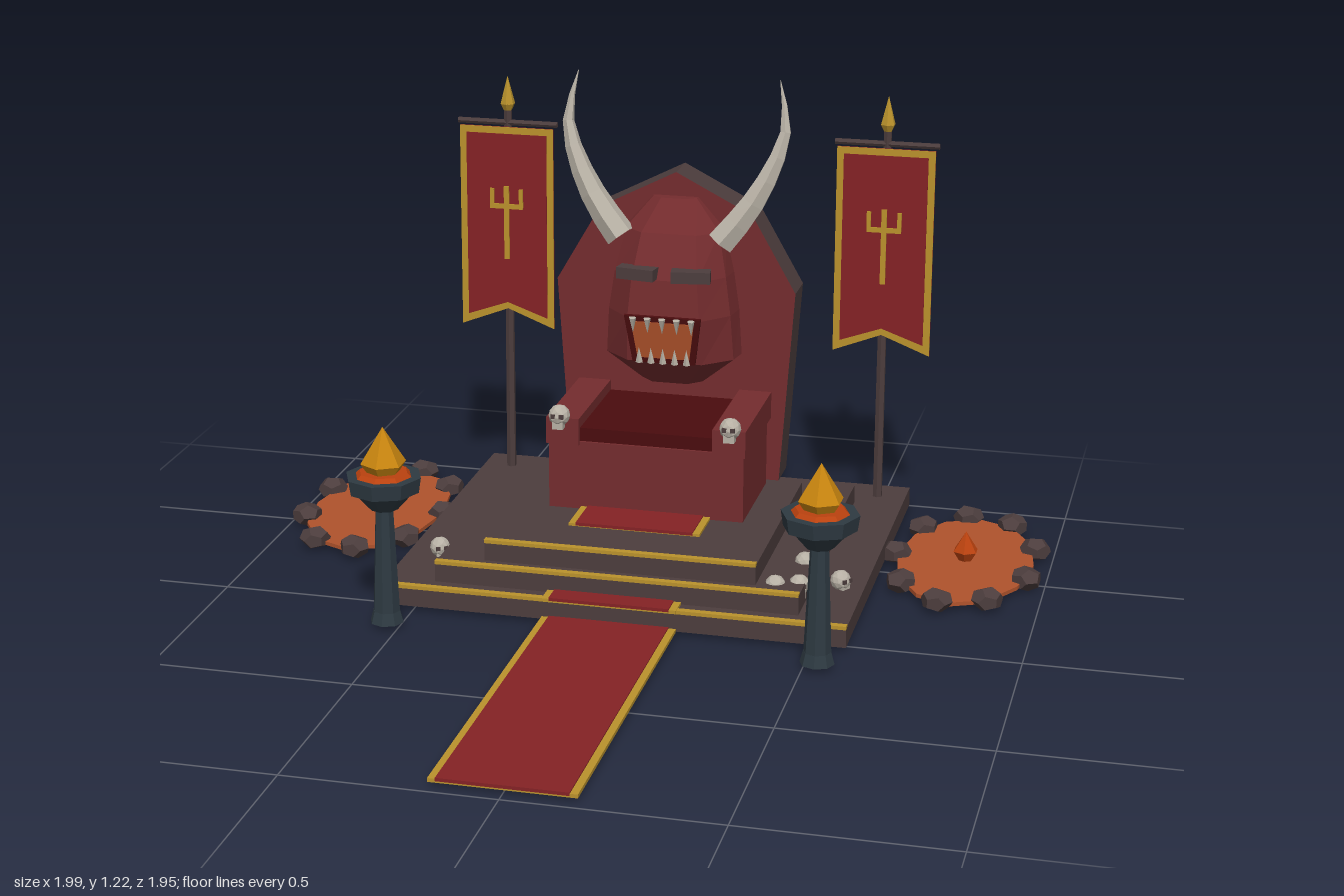
import * as THREE from 'three';

const mat = (name, hex) => {
  const m = new THREE.MeshStandardMaterial({ color: hex });
  m.name = name;
  return m;
};

export function createModel() {
  const stone = mat('dark stone', 0x4c3d3d), red = mat('throne red', 0x742c2e), cloth = mat('cloth red', 0x842225),
    dark = mat('cushion red', 0x4a0c0e), gold = mat('gold', 0xba922c), bone = mat('bone', 0xb8b1a5),
    slate = mat('slate iron', 0x2e3a42), lava = mat('lava', 0xb0532c), ember = mat('ember', 0xba420f),
    flame = mat('flame', 0xc8850f);
  const model = new THREE.Group();

  // Faceted mesh: split vertices so that every face is flat
  const add = (name, geo, material, x = 0, y = 0, z = 0, parent = model) => {
    const g = geo.index ? geo.toNonIndexed() : geo;
    g.computeVertexNormals();
    const mesh = new THREE.Mesh(g, material);
    mesh.name = name;
    mesh.position.set(x, y, z);
    parent.add(mesh);
    return mesh;
  };
  // Box given by its limits
  const box = (name, material, x0, x1, y0, y1, z0, z1, parent) =>
    add(name, new THREE.BoxGeometry(x1 - x0, y1 - y0, z1 - z0), material,
      (x0 + x1) / 2, (y0 + y1) / 2, (z0 + z1) / 2, parent);
  const cyl = (rTop, rBottom, h, sides) => new THREE.CylinderGeometry(rTop, rBottom, h, sides);
  const plate = (pts, depth) => new THREE.ExtrudeGeometry(
    new THREE.Shape(pts.map(p => new THREE.Vector2(...p))), { depth, bevelEnabled: false });

  // Stepped dais with gold nosings
  [[0.583, -0.975, 0.035], [0.457, -0.825, -0.018], [0.342, -0.675, -0.062]].forEach(([w, back, front], i) => {
    box('step', stone, -w, w, i * 0.05, (i + 1) * 0.05, back, front);
    box('stepTrim', gold, -w, w, (i + 1) * 0.05 - 0.003, (i + 1) * 0.05 + 0.006, front - 0.014, front + 0.004);
  });

  // Carpet runs: gold underlay with a narrower red top
  [[0.004, 0.04, 0.975], [0.052, -0.015, 0.042], [0.152, -0.36, -0.22]].forEach(([y, z0, z1]) => {
    box('carpetBorder', gold, -0.168, 0.168, y - 0.004, y + 0.005, z0, z1);
    box('carpet', cloth, -0.15, 0.15, y, y + 0.008, z0, z1 + 0.001);
  });

  // Throne back, seat and arms
  add('throneBack', plate([[-0.28, 0.15], [0.28, 0.15], [0.315, 0.66], [0.2, 0.86], [0, 0.962], [-0.2, 0.86],
    [-0.315, 0.66]], 0.105), [red, stone], 0, 0, -0.778);
  box('seat', red, -0.2, 0.2, 0.15, 0.33, -0.672, -0.345);
  box('cushion', dark, -0.175, 0.175, 0.33, 0.365, -0.672, -0.352);

  // Skull with dark eye sockets and a jaw
  const skull = (x, y, z, r, turn = 0) => {
    const g = new THREE.Group();
    g.name = 'skull';
    g.position.set(x, y, z);
    g.rotation.y = turn;
    add('cranium', new THREE.IcosahedronGeometry(r, 1), bone, 0, 0, 0, g);
    box('jaw', bone, -r * 0.5, r * 0.5, -r * 1.15, -r * 0.4, -r * 0.1, r * 0.75, g);
    for (const s of [-1, 1])
      box('eyeSocket', stone, s * r * 0.38 - r * 0.2, s * r * 0.38 + r * 0.2, -r * 0.1, r * 0.3, r * 0.75, r * 0.96, g);
    model.add(g);
  };
  for (const s of [-1, 1]) {
    const a = s * 0.172, b = s * 0.257;
    box('armrest', red, Math.min(a, b), Math.max(a, b), 0.322, 0.392, -0.672, -0.338);
    box('armSupport', red, Math.min(a, b * 0.98), Math.max(a, b * 0.98), 0.15, 0.322, -0.645, -0.345);
    skull(s * 0.22, 0.402, -0.33, 0.028);
  }
  [[-0.5, 0.07, -0.2, 0.5], [0.43, 0.098, -0.25, 2], [0.525, 0.07, -0.22, 1], [0.44, 0.09, -0.118, 0.3],
    [0.385, 0.092, -0.095, -0.4]].forEach(([x, y, z, t]) => skull(x, y, z, 0.026, t));

  // Demon head: half rings [height, half width, front z] lofted from crown to chin
  const rings = [[0.9, 0.06, -0.645], [0.82, 0.13, -0.59], [0.71, 0.155, -0.54], [0.61, 0.17, -0.53],
    [0.49, 0.178, -0.55], [0.415, 0.085, -0.615]];
  const back = -0.68, verts = [], faces = [], n = 6;
  for (const [y, w, f] of rings)
    for (const [u, v] of [[1, 0], [0.94, 0.5], [0.55, 1], [-0.55, 1], [-0.94, 0.5], [-1, 0]])
      verts.push(u * w, y, back + v * (f - back));
  for (let i = 0; i < rings.length - 1; i++)
    for (let j = 0; j < n - 1; j++) {
      const a = i * n + j, d = a + n;
      faces.push(a, a + 1, d + 1, a, d + 1, d);
    }
  const last = (rings.length - 1) * n;
  for (let j = 1; j < n - 1; j++) faces.push(0, j + 1, j, last, last + j, last + j + 1);
  const headGeo = new THREE.BufferGeometry();
  headGeo.setAttribute('position', new THREE.Float32BufferAttribute(verts, 3));
  headGeo.setIndex(faces);
  add('demonHead', headGeo, red);

  // Mouth plates tilted to the face, with two rows of fangs
  const mouth = new THREE.Group();
  mouth.name = 'mouth';
  mouth.position.set(0, 0.555, -0.538);
  mouth.rotation.x = 0.165;
  model.add(mouth);
  add('lips', plate([[-0.082, -0.065], [0.082, -0.065], [0.1, 0.065], [-0.1, 0.065]], 0.008), dark, 0, 0, -0.002, mouth);
  add('mouthGlow', plate([[-0.068, -0.05], [0.068, -0.05], [0.082, 0.05], [-0.082, 0.05]], 0.006), lava, 0, 0, 0.003, mouth);
  for (let i = -2; i <= 2; i++) {
    add('upperFang', new THREE.ConeGeometry(0.01, 0.042, 5), bone, i * 0.038, 0.042, 0.013, mouth).rotation.x = Math.PI;
    add('lowerFang', new THREE.ConeGeometry(0.01, 0.042, 5), bone, i * 0.031, -0.04, 0.013, mouth);
  }

  // Tapered horn swept along a curve
  const horn = s => {
    const seg = 7, sides = 6;
    const path = new THREE.CatmullRomCurve3([[0.13, 0.8, -0.615], [0.2, 0.89, -0.63], [0.258, 1.0, -0.65],
      [0.283, 1.09, -0.67], [0.262, 1.21, -0.695]].map(([x, y, z]) => new THREE.Vector3(s * x, y, z)));
    const g = new THREE.TubeGeometry(path, seg, 0.04, sides), p = g.attributes.position, v = new THREE.Vector3();
    for (let k = 0; k < p.count; k++) {
      const t = Math.floor(k / (sides + 1)) / seg, c = path.getPointAt(t);
      v.fromBufferAttribute(p, k).sub(c).multiplyScalar(Math.max(0.02, 1 - Math.pow(t, 1.4))).add(c);
      p.setXYZ(k, v.x, v.y, v.z);
    }
    add('horn', g, bone);
  };

  // Banner outline, inset by a margin
  const bannerShape = m => [[-0.128 + m, 0.455 + m * 1.6], [0, 0.505 + m], [0.128 - m, 0.455 + m * 1.6],
    [0.128 - m, 1.005 - m], [-0.128 + m, 1.005 - m]];

  for (const s of [-1, 1]) {
    horn(s);
    add('brow', new THREE.BoxGeometry(0.1, 0.03, 0.04), stone, s * 0.07, 0.727, -0.54).rotation.y = s * 0.15;

    // Banner on its pole
    const banner = new THREE.Group();
    banner.name = 'banner';
    banner.position.set(s * 0.508, 0, -0.892);
    model.add(banner);
    add('pole', cyl(0.011, 0.013, 1.02, 6), stone, 0, 0.56, 0, banner);
    add('crossbar', cyl(0.008, 0.008, 0.272, 6), stone, 0, 1.015, 0.002, banner).rotation.z = Math.PI / 2;
    add('finial', new THREE.ConeGeometry(0.02, 0.075, 6), gold, 0, 1.103, 0, banner);
    add('finialBase', cyl(0.02, 0.01, 0.02, 6), gold, 0, 1.056, 0, banner);
    add('bannerCloth', plate(bannerShape(0), 0.005), cloth, 0, 0, 0.011, banner);
    add('bannerBorder', plate(bannerShape(0), 0.002), gold, 0, 0, 0.016, banner);
    add('bannerField', plate(bannerShape(0.018), 0.003), cloth, 0, 0, 0.017, banner);
    const bar = (x, y, w, h) => box('trident', gold, x - w / 2, x + w / 2, y - h / 2, y + h / 2, 0.019, 0.025, banner);
    bar(0, 0.745, 0.014, 0.2);
    bar(0, 0.79, 0.09, 0.013);
    bar(-0.04, 0.813, 0.011, 0.05);
    bar(0.04, 0.813, 0.011, 0.05);

    // Brazier: foot, column, flared bowl, coals and flame
    const brazier = new THREE.Group();
    brazier.name = 'brazier';
    brazier.position.set(s * 0.532, 0, 0.138);
    model.add(brazier);
    add('foot', cyl(0.034, 0.042, 0.03, 8), slate, 0, 0.015, 0, brazier);
    add('column', cyl(0.022, 0.034, 0.28, 8), slate, 0, 0.16, 0, brazier);
    add('bowl', cyl(0.078, 0.034, 0.05, 8), slate, 0, 0.318, 0, brazier);
    add('rim', cyl(0.094, 0.088, 0.038, 8), slate, 0, 0.359, 0, brazier);
    add('coals', cyl(0.06, 0.072, 0.012, 8), ember, 0, 0.382, 0, brazier);
    add('flameBase', cyl(0.056, 0.036, 0.03, 6), flame, 0, 0.395, 0, brazier);
    add('flame', new THREE.ConeGeometry(0.056, 0.09, 6), flame, 0, 0.455, 0, brazier);

    // Lava pool ringed by rocks
    const pool = new THREE.Group();
    pool.name = 'lavaPool';
    pool.position.set(s * 0.787, 0, -0.577);
    model.add(pool);
    add('lavaSurface', cyl(1, 1, 0.01, 12).scale(0.175, 1, 0.3), lava, 0, 0.008, 0, pool);
    add('emberBase', cyl(0.033, 0.018, 0.025, 6), ember, 0, 0.026, 0, pool);
    add('emberFlame', new THREE.ConeGeometry(0.033, 0.052, 6), ember, 0, 0.064, 0, pool);
    for (let i = 0; i < 9; i++) {
      const a = i * Math.PI * 2 / 9;
      const rock = add('rock', new THREE.DodecahedronGeometry(0.041).scale(1, 0.75, 1), stone,
        -s * Math.cos(a) * 0.178, 0.018, Math.sin(a) * 0.305, pool);
      rock.rotation.y = i * 1.3;
    }
  }
  return model;
}
